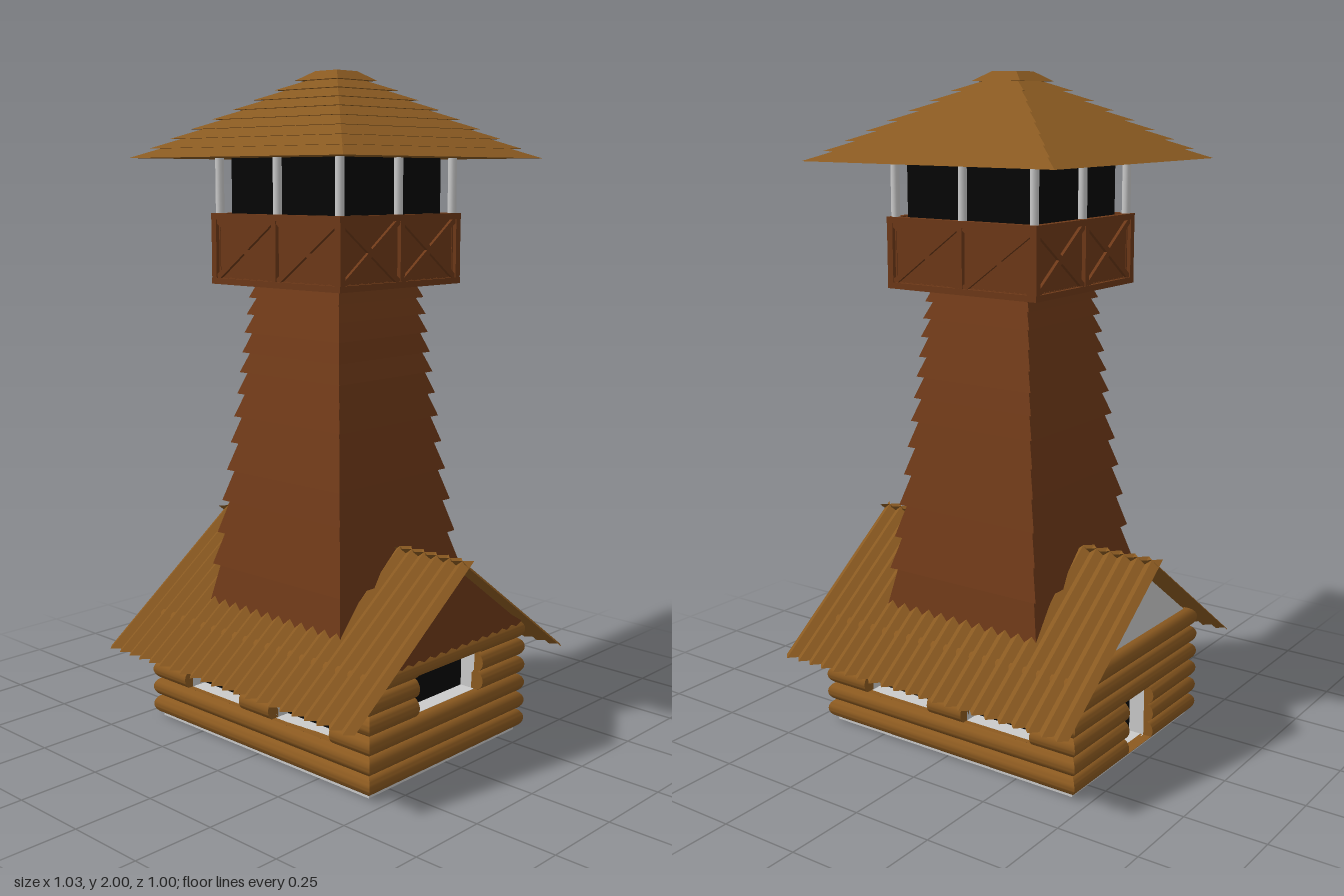
import * as THREE from 'three';
import { toCreasedNormals } from 'three/addons/utils/BufferGeometryUtils.js';

const mat = (color, extra = {}) => new THREE.MeshStandardMaterial({ color, ...extra });
const GREY = mat(0xcccccc);
const LOG = mat(0x8c5a20);
const ROOF = mat(0x8a5a21, { flatShading: true, side: THREE.DoubleSide });
const BOARD = mat(0x6e3918, { flatShading: true });
const BLACK = mat(0x050505);

function add(parent, name, geometry, material, x = 0, y = 0, z = 0) {
  const mesh = new THREE.Mesh(geometry, material);
  mesh.name = name;
  mesh.position.set(x, y, z);
  parent.add(mesh);
  return mesh;
}

// square frustum given by half widths
function frustum(parent, name, bottom, top, y0, y1, material) {
  const g = new THREE.CylinderGeometry(top * Math.SQRT2, bottom * Math.SQRT2, y1 - y0, 4);
  g.rotateY(Math.PI / 4);
  return add(parent, name, g, material, 0, (y0 + y1) / 2, 0);
}

const polygon = (points) => new THREE.Shape(points.map(([x, y]) => new THREE.Vector2(x, y)));

// piece of a half-round log: depth along z, cut to y0..y1 and u0..u1, mitred at wall ends
function logPiece(c, r, y0, y1, u0, u1, half) {
  const pts = [[-0.01, y0]];
  for (let i = 0; i <= 10; i++) {
    const y = y0 + (y1 - y0) * i / 10;
    pts.push([Math.sqrt(Math.max(0, r * r - (y - c) ** 2)), y]);
  }
  pts.push([-0.01, y1]);
  const g = new THREE.ExtrudeGeometry(polygon(pts), { depth: u1 - u0, bevelEnabled: false });
  g.rotateY(-Math.PI / 2).translate(u1, 0, 0);
  const p = g.attributes.position;
  for (let i = 0; i < p.count; i++) {
    const u = p.getX(i);
    if (Math.abs(Math.abs(u) - half) < 1e-4) p.setX(i, u + Math.sign(u) * p.getZ(i));
  }
  return toCreasedNormals(g, 0.7);
}

const PITCH = 0.0575, BASE = 0.01, ROWS = 6, TOP = BASE + PITCH * ROWS;

// one cabin wall facing local +z; openings are [u0, u1, y0, y1]
function wall(parent, name, half, dist, angle, openings, gable) {
  const group = new THREE.Group();
  group.name = name;
  group.rotation.y = angle;
  parent.add(group);

  // plain inner wall with openings
  const outline = [[-half, BASE], [half, BASE], [half, TOP]];
  if (gable) outline.push([0, 0.595]);
  outline.push([-half, TOP]);
  const shape = polygon(outline);
  for (const [a, b, c, d] of openings)
    shape.holes.push(new THREE.Path([[a, c], [a, d], [b, d], [b, c]].map(([x, y]) => new THREE.Vector2(x, y))));
  add(group, 'innerWall', new THREE.ExtrudeGeometry(shape, { depth: 0.05, bevelEnabled: false }), GREY, 0, 0, dist - 0.05);

  // log rows, interrupted at openings
  for (let i = 0; i < ROWS; i++) {
    const lo = BASE + i * PITCH, hi = lo + PITCH;
    const cuts = [lo, hi];
    for (const o of openings) for (const y of [o[2], o[3]]) if (y > lo + 1e-3 && y < hi - 1e-3 && !cuts.includes(y)) cuts.push(y);
    cuts.sort((a, b) => a - b);
    for (let k = 0; k + 1 < cuts.length; k++) {
      const mid = (cuts[k] + cuts[k + 1]) / 2;
      const edges = [-half];
      for (const o of openings) if (mid > o[2] && mid < o[3]) edges.push(o[0], o[1]);
      edges.push(half);
      for (let e = 0; e < edges.length; e += 2)
        add(group, 'log', logPiece((lo + hi) / 2, 0.032, cuts[k], cuts[k + 1], edges[e], edges[e + 1], half), LOG, 0, 0, dist);
    }
  }
  return group;
}

function buildCabin(root) {
  const cabin = new THREE.Group();
  cabin.name = 'cabin';
  root.add(cabin);
  add(cabin, 'floor', new THREE.BoxGeometry(0.88, 0.02, 0.67), GREY, 0, 0.01, 0);
  add(cabin, 'darkInterior', new THREE.BoxGeometry(0.758, 0.32, 0.548), BLACK, 0, 0.185, 0);

  const windows = [[-0.308, -0.063, 0.127, 0.25], [0.063, 0.308, 0.127, 0.25]];
  wall(cabin, 'frontWall', 0.43, 0.325, 0, windows, false);
  wall(cabin, 'backWall', 0.43, 0.325, Math.PI, windows, false);
  const side = wall(cabin, 'windowWall', 0.325, 0.43, Math.PI / 2, [[-0.145, 0.145, 0.183, 0.308]], true);
  wall(cabin, 'doorWall', 0.325, 0.43, -Math.PI / 2, [[-0.055, 0.085, 0.021, 0.185]], true);

  // pointed gable planks on the window side
  const n = 14, w = 0.68 / n;
  const topAt = (u) => 0.6 - 0.74 * Math.abs(u);
  for (let i = 0; i < n; i++) {
    const a = -0.34 + i * w, b = a + w, m = (a + b) / 2;
    const s = polygon([[a, 0.353], [m, 0.343], [b, 0.353], [b, Math.max(topAt(b), 0.356)], [a, Math.max(topAt(a), 0.356)]]);
    add(side, 'gablePlank', new THREE.ExtrudeGeometry(s, { depth: 0.028, bevelEnabled: false }), BOARD, 0, 0, 0.43);
  }
}

function buildCabinRoof(root) {
  const roof = new THREE.Group();
  roof.name = 'cabinRoof';
  root.add(roof);
  const cols = 44;
  for (const angle of [0, Math.PI]) {
    // corrugated slope, cut level at ridge and eave; valleys lie behind the crests
    const g = new THREE.PlaneGeometry(1.034, 1, cols, 1);
    const p = g.attributes.position;
    for (let i = 0; i < p.count; i++) {
      const setback = (i % (cols + 1)) % 2 === 1 ? 0 : 0.024;
      const top = p.getY(i) > 0;
      p.setXYZ(i, p.getX(i), top ? 0.62 : 0.25, (top ? 0 : 0.5) - setback);
    }
    add(roof, 'roofSlope', g, ROOF).rotation.y = angle;
  }
}

function buildTower(root) {
  const tower = new THREE.Group();
  tower.name = 'tower';
  root.add(tower);
  // overlapping board tiers, narrowing upward: lower edge height and half width
  const tiers = [[0.38, 0.28], [0.52, 0.269], [0.62, 0.258], [0.72, 0.247], [0.815, 0.236], [0.9, 0.227], [0.98, 0.219],
    [1.05, 0.212], [1.115, 0.206], [1.175, 0.2], [1.235, 0.195], [1.29, 0.19], [1.34, 0.185], [1.39, 0.181]];
  for (let i = 0; i + 1 < tiers.length; i++)
    frustum(tower, 'boardTier', tiers[i][1], tiers[i + 1][1] - 0.018, tiers[i][0], tiers[i + 1][0] + 0.002, BOARD);
}

function buildGallery(root) {
  const gallery = new THREE.Group();
  gallery.name = 'gallery';
  root.add(gallery);
  const y0 = 1.382, y1 = 1.59, h = y1 - y0, ym = (y0 + y1) / 2;
  add(gallery, 'galleryFloor', new THREE.BoxGeometry(0.5, 0.02, 0.5), BOARD, 0, y0 + 0.01, 0);
  add(gallery, 'lookoutRoom', new THREE.BoxGeometry(0.436, 0.37, 0.436), BLACK, 0, 1.58, 0);
  const bw = 0.018, panelW = 0.25;
  for (let s = 0; s < 4; s++) {
    const side = new THREE.Group();
    side.name = 'railing';
    side.rotation.y = s * Math.PI / 2;
    gallery.add(side);
    add(side, 'railingPanel', new THREE.BoxGeometry(0.5, h - 0.004, 0.012), BOARD, 0, ym, 0.242);
    for (const y of [y0 + bw / 2, y1 - bw / 2])
      add(side, 'rail', new THREE.BoxGeometry(0.524, bw, 0.022), BOARD, 0, y, 0.251);
    for (const x of [-0.253, 0, 0.253])
      add(side, 'upright', new THREE.BoxGeometry(bw, h, 0.02), BOARD, x, ym, 0.251);
    for (const x of [-0.127, 0.127])
      for (const d of [-1, 1]) {
        const a = Math.atan2(h - bw * 2, panelW - bw);
        const len = Math.hypot(h - bw * 2, panelW - bw);
        add(side, 'crossBrace', new THREE.BoxGeometry(len, 0.017, 0.016), BOARD, x, ym, 0.25).rotation.z = d * a;
      }
    // round posts carrying the roof: one corner, one middle
    for (const x of [0, 0.243])
      add(side, 'roofPost', new THREE.CylinderGeometry(0.013, 0.013, 0.195, 10), GREY, x, 1.6725, 0.243);
  }
}

function buildTowerRoof(root) {
  const roof = new THREE.Group();
  roof.name = 'towerRoof';
  root.add(roof);
  // overlapping shingle tiers with a stepped eave line
  const tiers = 9, dy = 0.25 / tiers, step = 0.0432;
  for (let i = 0; i < tiers; i++) {
    const half = 0.431 - i * step, y = 1.75 + i * dy;
    const top = i === tiers - 1 ? 0.043 : half - step - 0.026;
    frustum(roof, 'roofTier', half, top, y, Math.min(y + dy + 0.001, 2), ROOF);
  }
}

export function createModel() {
  const model = new THREE.Group();
  model.name = 'lookoutTower';
  buildCabin(model);
  buildCabinRoof(model);
  buildTower(model);
  buildGallery(model);
  buildTowerRoof(model);
  return model;
}
